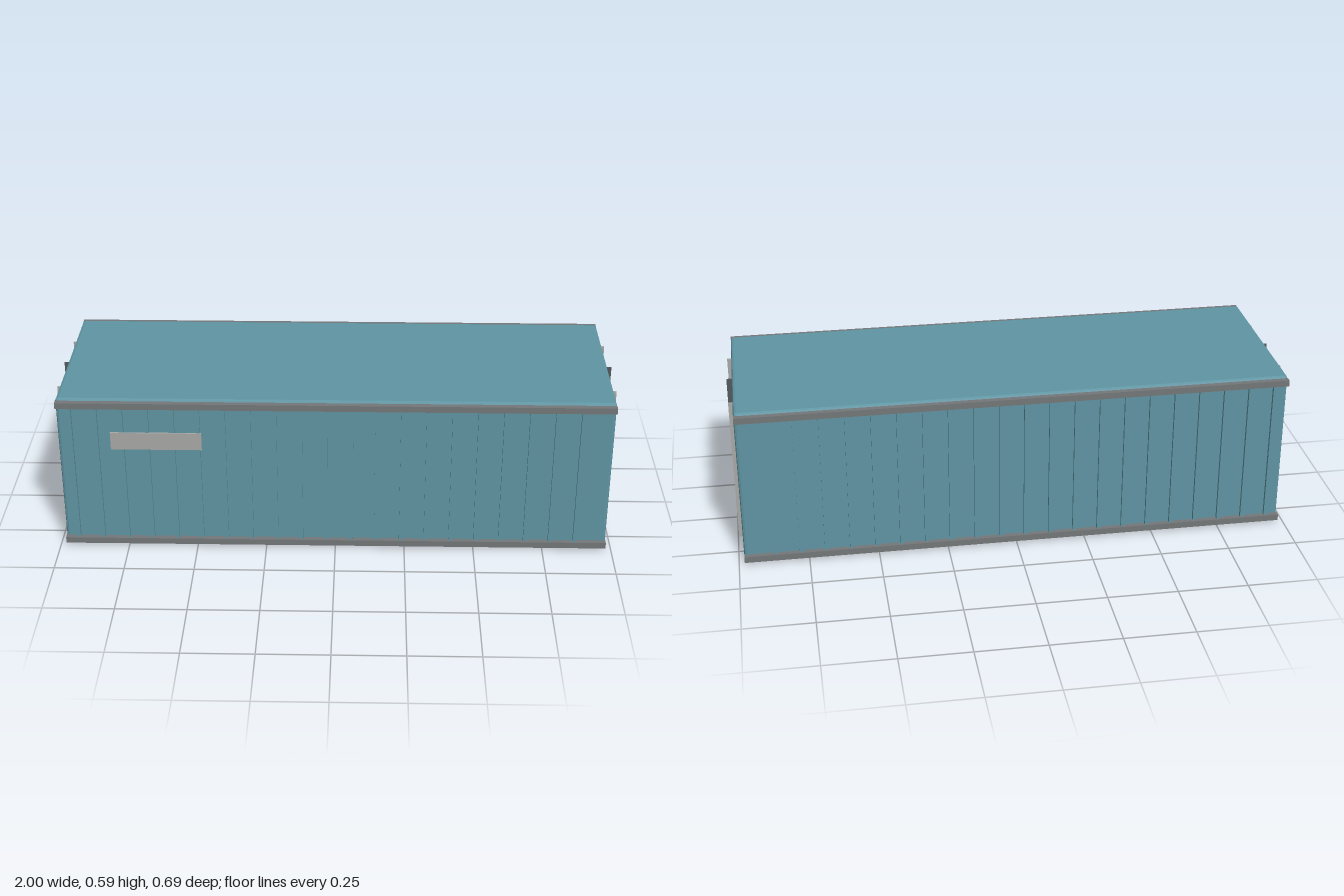
import * as THREE from 'three';
import { RoundedBoxGeometry } from 'three/addons/geometries/RoundedBoxGeometry.js';

function material(name, color) {
  const m = new THREE.MeshStandardMaterial({ color, flatShading: true });
  m.name = name;
  return m;
}

export function createModel() {
  const root = new THREE.Group();
  root.name = 'cargoContainer';
  const teal = material('tealPaint', 0x5f95a3);
  const steel = material('greySteel', 0x75787a);
  const pale = material('paleMetal', 0xa9aaa8);
  const dark = material('darkSeal', 0x55595c);

  const add = (name, geometry, mat, x, y, z) => {
    const mesh = new THREE.Mesh(geometry, mat);
    mesh.name = name;
    mesh.position.set(x, y, z);
    root.add(mesh);
  };
  const box = (name, mat, w, h, d, x, y, z) =>
    add(name, new THREE.BoxGeometry(w, h, d), mat, x, y, z);

  // Bevelled body
  add('body', new RoundedBoxGeometry(1.96, 0.59, 0.654, 1, 0.01), teal, 0, 0.295, 0);

  for (const side of [1, -1]) {
    // Long rails at the top and bottom of each side wall
    for (const y of [0.02, 0.571]) {
      box('sideRail', steel, 1.96, 0.023, 0.022, 0, y, side * 0.335);
    }
    // Upright wall ribs
    for (let i = 0; i < 21; i++) {
      box('wallRib', teal, 0.013, 0.54, 0.018, -0.933 + i * 0.09, 0.295, side * 0.33);
    }
    // End doors: centre seam and two locking bars
    box('doorSeam', dark, 0.022, 0.55, 0.006, side * 0.989, 0.295, 0);
    for (const z of [0.184, -0.184]) {
      box('lockingBar', pale, 0.018, 0.54, 0.008, side * 0.987, 0.295, z);
    }
  }

  // Marking plate on the front wall
  box('markingPlate', pale, 0.322, 0.066, 0.006, -0.632, 0.432, 0.34);

  return root;
}
